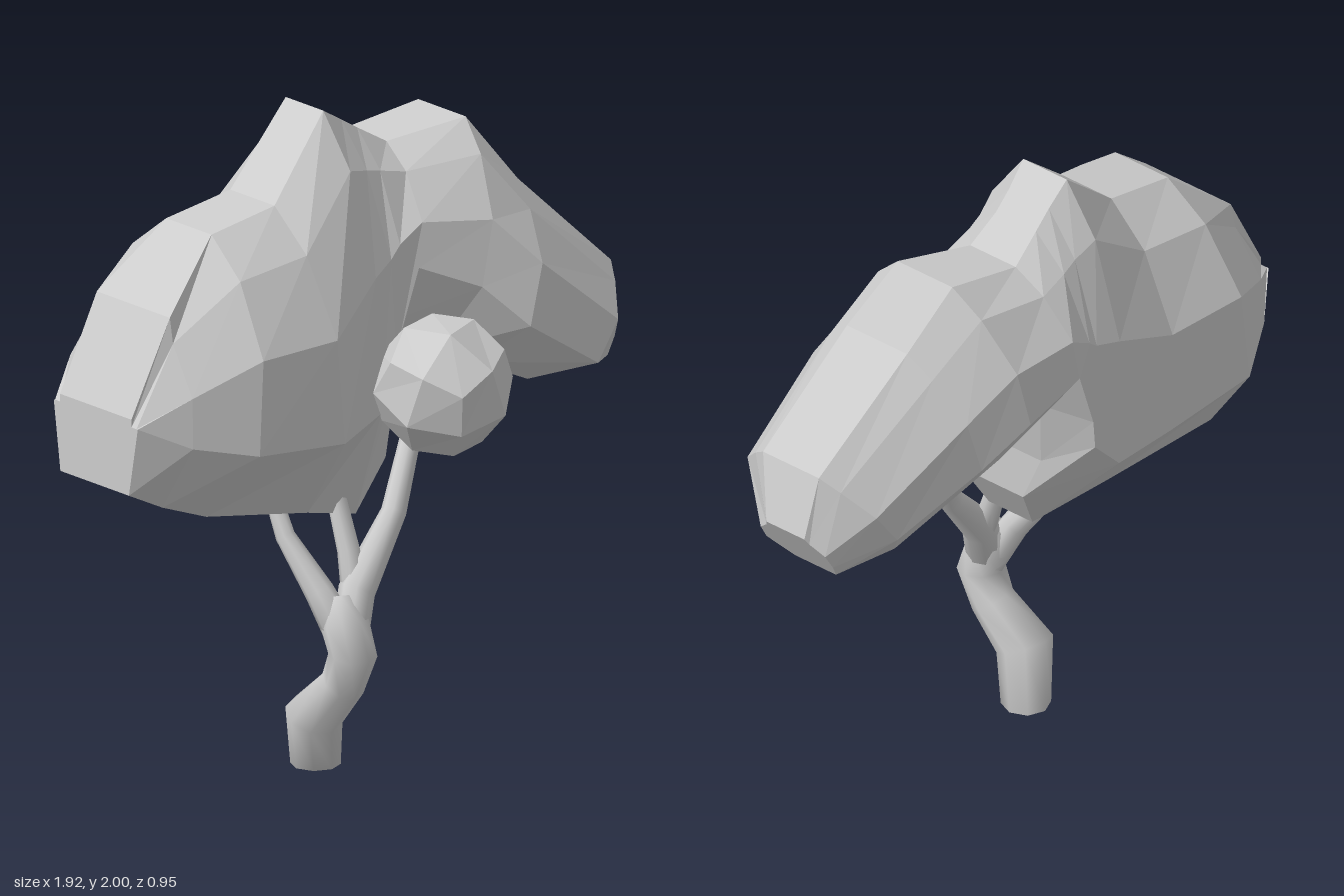
import * as THREE from 'three';

const leafMat = new THREE.MeshStandardMaterial({ color: 0xcccccc, flatShading: true });
const barkMat = new THREE.MeshStandardMaterial({ color: 0xcccccc });

// Closed skin over a list of rings (arrays of Vector3) with both ends capped
function loft(rings) {
  const n = rings[0].length, last = rings.length - 1;
  const points = rings.flat();
  const centre = ring => ring.reduce((s, p) => s.add(p), new THREE.Vector3()).divideScalar(n);
  points.push(centre(rings[0]), centre(rings[last]));
  const startCap = points.length - 2, endCap = points.length - 1;
  const index = [];
  for (let j = 0; j < n; j++) {
    const k = (j + 1) % n;
    for (let i = 0; i < last; i++) {
      const a = i * n + j, b = i * n + k, c = b + n, d = a + n;
      index.push(a, d, c, a, c, b);
    }
    index.push(startCap, j, k, endCap, last * n + k, last * n + j);
  }
  const g = new THREE.BufferGeometry().setFromPoints(points);
  g.setIndex(index);
  g.computeVertexNormals();
  return g;
}

// Rib of the canopy: bottom and top point, depth range, depth range of the
// underside, least half width (as a share) and least height of the flank
function canopyRing([xb, yb, xt, yt, zb, zf, underB, underF, flat, low = 0]) {
  const side = [[0.28, 1], [0.62, 0.97], [0.87, 0.64], [1, 0.27]]; // height, half depth
  const mid = (zb + zf) / 2, half = (zf - zb) / 2;
  const at = (t, z) => new THREE.Vector3(xb + (xt - xb) * t, yb + (yt - yb) * t, z);
  const flank = s => side.map(([t, w]) => at(Math.max(t, low), mid + s * half * Math.max(w, flat)));
  return [at(0, underF), ...flank(1), ...flank(-1).reverse(), at(0, underB)];
}

// Tapering limb through points [x, y, z, radius]
function limb(name, path, sides = 8) {
  const pts = path.map(p => new THREE.Vector3(p[0], p[1], p[2]));
  const up = new THREE.Vector3(0, 1, 0), q = new THREE.Quaternion();
  const rings = pts.map((p, i) => {
    const dir = pts[Math.min(i + 1, pts.length - 1)].clone().sub(pts[Math.max(i - 1, 0)]).normalize();
    q.setFromUnitVectors(up, p.y === 0 ? up : dir);
    return Array.from({ length: sides }, (_, j) => {
      const a = (j / sides) * Math.PI * 2, r = path[i][3];
      return new THREE.Vector3(Math.cos(a) * r, 0, Math.sin(a) * r).applyQuaternion(q).add(p);
    });
  });
  const m = new THREE.Mesh(loft(rings), barkMat);
  m.name = name;
  return m;
}

export function createModel() {
  const tree = new THREE.Group();
  tree.name = 'tree';

  // Arched canopy: large lobe on the right, slimmer lobe on the left
  const ribs = [
    [-0.96, 1.03, -0.96, 1.27, -0.26, 0.12, -0.23, 0.08, 0.85, 0.9],
    [-0.82, 0.96, -0.80, 1.55, -0.37, 0.20, -0.28, 0.07, 0.58, 0.36],
    [-0.64, 0.89, -0.57, 1.74, -0.48, 0.28, -0.31, 0.06, 0.27],
    [-0.27, 0.83, -0.33, 1.78, -0.46, 0.28, -0.23, 0.09, 0.27],
    [-0.03, 0.76, -0.07, 2.00, -0.47, 0.16, -0.14, 0.03, 0.27],
    [0.07, 0.92, 0.02, 1.947, -0.46, 0.12, -0.19, 0.05, 0.27],
    [0.07, 1.08, 0.09, 1.905, -0.47, 0.11, -0.26, 0.04, 0.27],
    [0.12, 1.32, 0.20, 1.84, -0.48, 0.11, -0.30, 0.01, 0.3, 0.36],
    [0.28, 1.20, 0.45, 1.88, -0.45, 0.18, -0.28, 0.03, 0.34, 0.33],
    [0.42, 1.14, 0.58, 1.68, -0.37, 0.25, -0.25, 0.05, 0.38],
    [0.65, 1.03, 0.90, 1.37, -0.26, 0.26, -0.19, 0.02, 0.42],
    [0.87, 1.03, 0.96, 1.18, -0.16, 0.10, -0.15, 0.01, 0.57],
  ];
  const canopy = new THREE.Mesh(loft(ribs.map(canopyRing)), leafMat);
  canopy.name = 'canopy';
  tree.add(canopy);

  // Small leaf cluster: a coarse cube blown up to a ball
  const ball = new THREE.BoxGeometry(1, 1, 1, 2, 2, 2);
  const pos = ball.attributes.position, v = new THREE.Vector3();
  for (let i = 0; i < pos.count; i++) {
    v.fromBufferAttribute(pos, i).setLength(0.215);
    pos.setXYZ(i, v.x, v.y, v.z);
  }
  const cluster = new THREE.Mesh(ball, leafMat);
  cluster.name = 'leafCluster';
  cluster.position.set(0.1, 1.195, 0.275);
  cluster.rotation.set(0.35, 0.4, 0.25);
  tree.add(cluster);

  // Crooked trunk and its branches
  tree.add(
    limb('trunk', [
      [-0.155, 0, -0.007, 0.075], [-0.195, 0.17, 0.032, 0.088], [-0.175, 0.29, 0.14, 0.068],
      [-0.175, 0.39, 0.185, 0.073], [-0.18, 0.48, 0.155, 0.073], [-0.17, 0.56, 0.13, 0.04],
    ]),
    limb('leftBranch', [
      [-0.17, 0.43, 0.165, 0.055], [-0.125, 0.57, 0.145, 0.056], [0.05, 0.77, 0.11, 0.038],
      [0.22, 1.07, 0.03, 0.028], [0.40, 1.20, -0.02, 0.024],
    ]),
    limb('rightBranch', [
      [-0.18, 0.43, 0.155, 0.055], [-0.215, 0.57, 0.08, 0.045], [-0.245, 0.72, -0.04, 0.03],
      [-0.26, 0.88, -0.10, 0.024],
    ]),
    limb('middleBranch', [
      [-0.13, 0.56, 0.14, 0.04], [-0.11, 0.68, 0.09, 0.034], [-0.12, 0.88, 0.03, 0.028],
    ]),
    limb('twig', [[-0.02, 1.12, 0.02, 0.022], [0.08, 1.17, 0.2, 0.02]], 6),
  );
  return tree;
}
